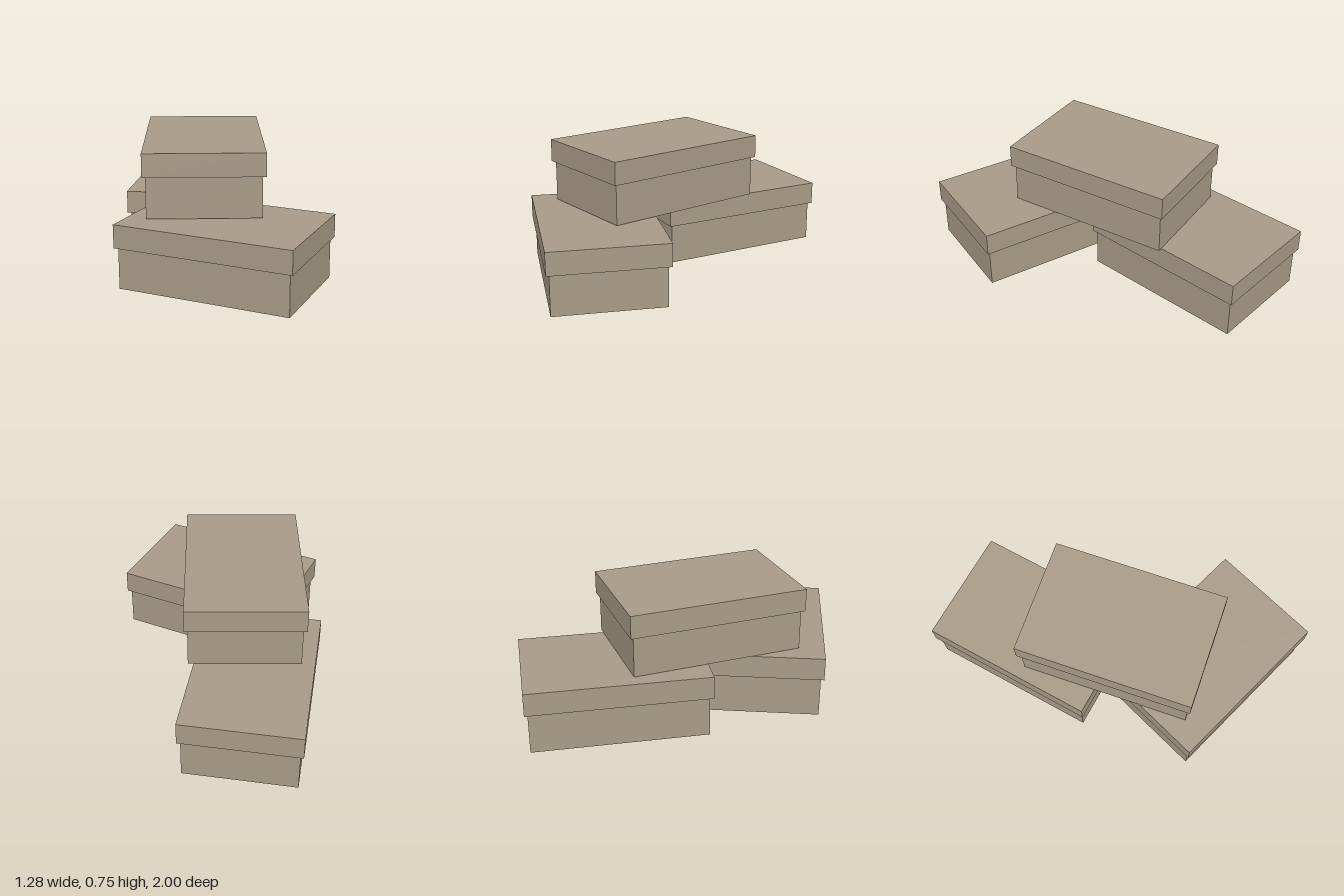
import * as THREE from 'three';

const cardboard = new THREE.MeshStandardMaterial({ color: 0xa89a86 });
cardboard.name = 'cardboard';

const BODY = [0.645, 0.24, 1.005];
const LID = [0.682, 0.135, 1.042];

// One lidded box: a body with a slightly wider lid on top
function lidded(name, x, y, z, degrees) {
  const box = new THREE.Group();
  box.name = name;
  const body = new THREE.Mesh(new THREE.BoxGeometry(...BODY), cardboard);
  body.name = 'boxBody';
  body.position.y = BODY[1] / 2;
  const lid = new THREE.Mesh(new THREE.BoxGeometry(...LID), cardboard);
  lid.name = 'boxLid';
  lid.position.y = BODY[1] + LID[1] / 2;
  box.add(body, lid);
  box.position.set(x, y, z);
  box.rotation.y = THREE.MathUtils.degToRad(degrees);
  return box;
}

export function createModel() {
  const model = new THREE.Group();
  model.name = 'stackedBoxes';
  model.add(
    lidded('backBox', -0.299, 0, -0.479, 0),
    lidded('frontBox', 0.043, 0, 0.525, 74),
    lidded('topBox', -0.16, 0.379, 0.049, 9.8),
  );
  return model;
}
